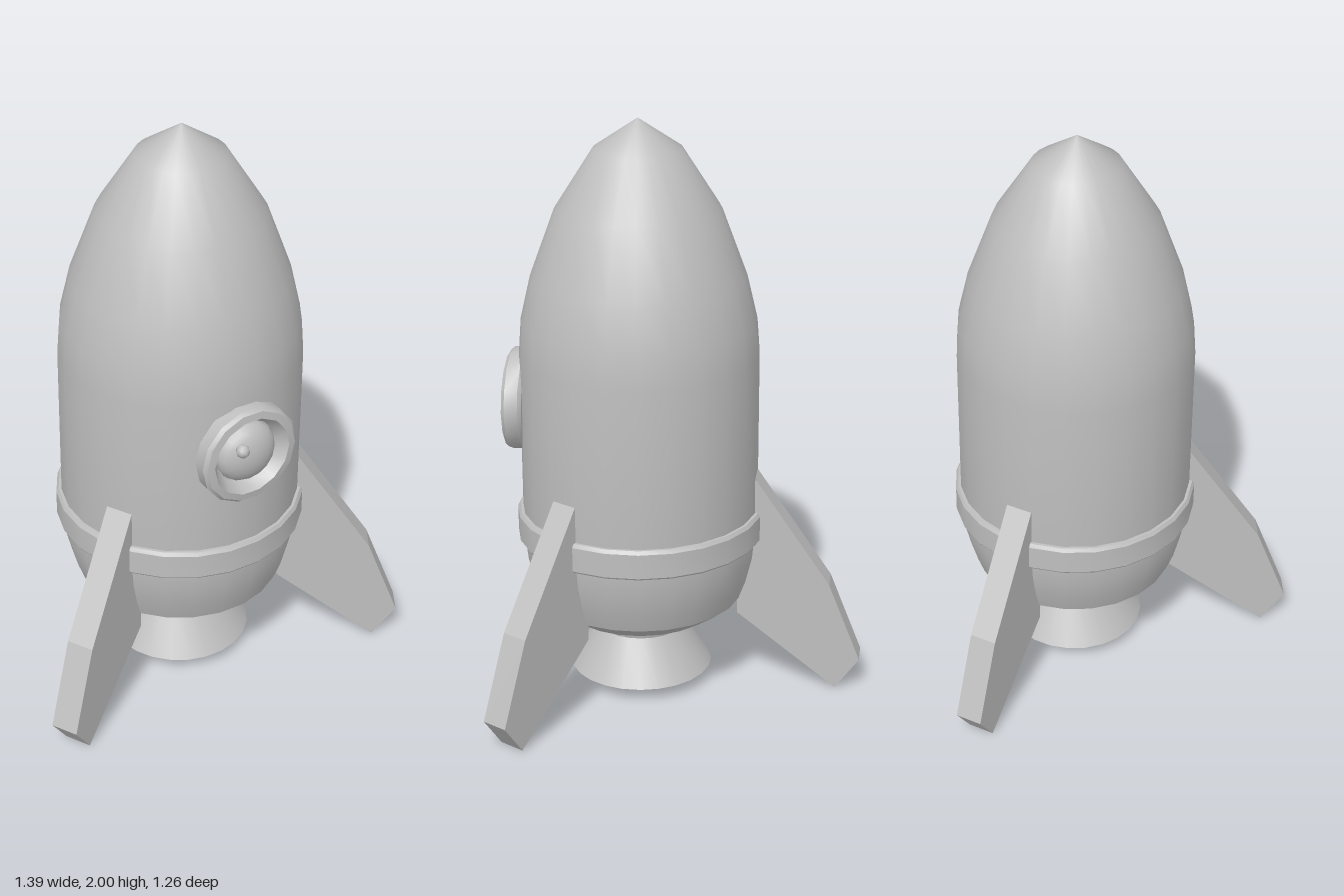
import * as THREE from 'three';
import { toCreasedNormals } from 'three/addons/utils/BufferGeometryUtils.js';

export function createModel() {
  const rocket = new THREE.Group();
  rocket.name = 'rocket';
  const grey = new THREE.MeshStandardMaterial({ color: 0xbfbfbf });
  grey.name = 'grey';
  const AXIS_Z = 0.147;

  const add = (name, geometry, parent = rocket) => {
    const mesh = new THREE.Mesh(geometry, grey);
    mesh.name = name;
    parent.add(mesh);
    return mesh;
  };

  // Revolved profile of [radius, height] pairs, listed bottom to top on the outside
  const turned = (profile, sides) => toCreasedNormals(
    new THREE.LatheGeometry(profile.map(([r, y]) => new THREE.Vector2(r, y)), sides, Math.PI / sides),
    0.55,
  );

  // Hull, band and engine share the upright axis
  const upright = new THREE.Group();
  upright.name = 'fuselage';
  upright.position.z = AXIS_Z;
  rocket.add(upright);

  add('hull', turned([
    [0, 0.267], [0.27, 0.267], [0.352, 0.325], [0.376, 0.39], [0.398, 0.48], [0.406, 0.56],
    [0.406, 1.2], [0.397, 1.32], [0.362, 1.47], [0.277, 1.7], [0.149, 1.9], [0, 2],
  ], 24), upright);

  add('band', turned([
    [0.4, 0.547], [0.42, 0.547], [0.424, 0.553], [0.424, 0.638], [0.416, 0.65], [0.4, 0.65],
  ], 24), upright);

  add('nozzle', turned([
    [0, 0.048], [0.247, 0.048], [0.156, 0.2], [0.175, 0.275],
  ], 24), upright);

  // Three swept fins, one to the back and one to each front corner
  const outline = [
    [0.38, 0.775], [0.403, 0.775], [0.663, 0.394], [0.774, 0.113],
    [0.692, 0], [0.345, 0.27], [0.345, 0.33], [0.36, 0.5],
  ].map(([r, y]) => new THREE.Vector2(r, y));
  const thickness = 0.093;
  const finGeometry = new THREE.ExtrudeGeometry(new THREE.Shape(outline), {
    depth: thickness, bevelEnabled: false,
  });
  finGeometry.translate(0, 0, -thickness / 2);
  ['backFin', 'rightFin', 'leftFin'].forEach((name, i) => {
    add(name, finGeometry, upright).rotation.y = Math.PI / 2 + i * Math.PI * 2 / 3;
  });

  // Porthole: bevelled rim, domed glass and a small bead on it
  const porthole = new THREE.Group();
  porthole.name = 'porthole';
  porthole.position.set(0, 1.015, 0);
  rocket.add(porthole);

  const rim = turned([
    [0.12, 0.525], [0.165, 0.525], [0.176, 0.537], [0.176, 0.582],
    [0.165, 0.594], [0.14, 0.598], [0.112, 0.555], [0.112, 0.525],
  ], 14);
  add('portholeRim', rim.rotateX(Math.PI / 2), porthole);

  const glass = new THREE.SphereGeometry(0.108, 16, 12);
  glass.rotateX(Math.PI / 2).scale(1, 1, 0.6).translate(0, 0, 0.55);
  add('portholeGlass', glass, porthole);

  const bead = new THREE.SphereGeometry(0.023, 8, 6);
  add('glassBead', bead.translate(-0.045, 0.045, 0.61), porthole);

  return rocket;
}
